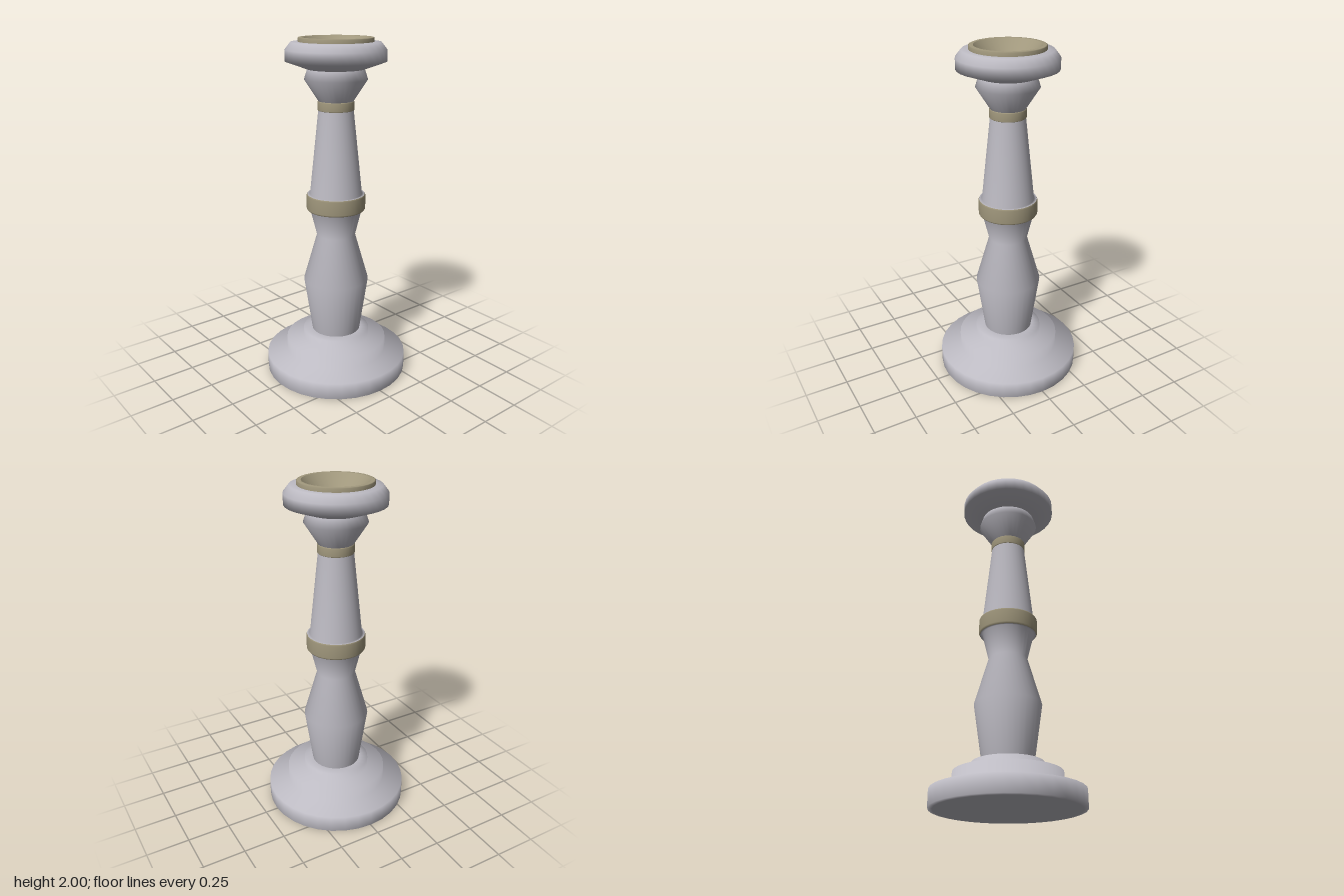
import * as THREE from 'three';

const SIDES = 32;

export function createModel() {
  const model = new THREE.Group();
  model.name = 'candlestick';

  const silver = new THREE.MeshStandardMaterial({ name: 'silver grey', color: 0xbcbac2 });
  const brass = new THREE.MeshStandardMaterial({ name: 'dull brass', color: 0xa1987d });

  // Turned part from [radius, height] pairs, listed from the bottom up
  const turn = (name, material, profile) => {
    const points = profile.map(([r, y]) => new THREE.Vector2(r, y));
    const mesh = new THREE.Mesh(new THREE.LatheGeometry(points, SIDES, Math.PI / 2), material);
    mesh.name = name;
    model.add(mesh);
  };

  // Stepped foot
  turn('foot', silver, [
    [0, 0], [0.4, 0], [0.425, 0.004], [0.425, 0.103], [0.303, 0.125], [0.303, 0.2],
    [0.2, 0.204], [0.2, 0.254], [0.145, 0.255],
  ]);

  // Lower stem, flaring out under the middle ring
  turn('lowerStem', silver, [
    [0.145, 0.255], [0.193, 0.585], [0.113, 0.865], [0.151, 1.02], [0.165, 1.02],
  ]);

  // Brass middle ring
  turn('middleRing', brass, [[0.165, 1.02], [0.172, 1.03], [0.172, 1.108], [0.168, 1.116]]);

  // Tapered upper stem, with the ledge on top of the ring
  turn('upperStem', silver, [[0.168, 1.116], [0.152, 1.116], [0.1, 1.605]]);

  // Brass collar
  turn('collar', brass, [[0.1, 1.602], [0.104, 1.606], [0.104, 1.65], [0.1, 1.655]]);

  // Neck
  turn('neck', silver, [[0.1, 1.655], [0.178, 1.775], [0.16, 1.83]]);

  // Drip pan
  turn('dripPan', silver, [
    [0.16, 1.83], [0.282, 1.873], [0.282, 1.935], [0.25, 1.975], [0.205, 1.977],
  ]);

  // Brass candle cup: rim and hollow
  turn('cupRim', brass, [[0.21, 1.97], [0.21, 1.997], [0.204, 2], [0.185, 2]]);
  turn('cupHollow', brass, [[0.185, 2], [0.066, 1.86]]);
  turn('cupFloor', brass, [[0.066, 1.86], [0, 1.86]]);

  return model;
}
